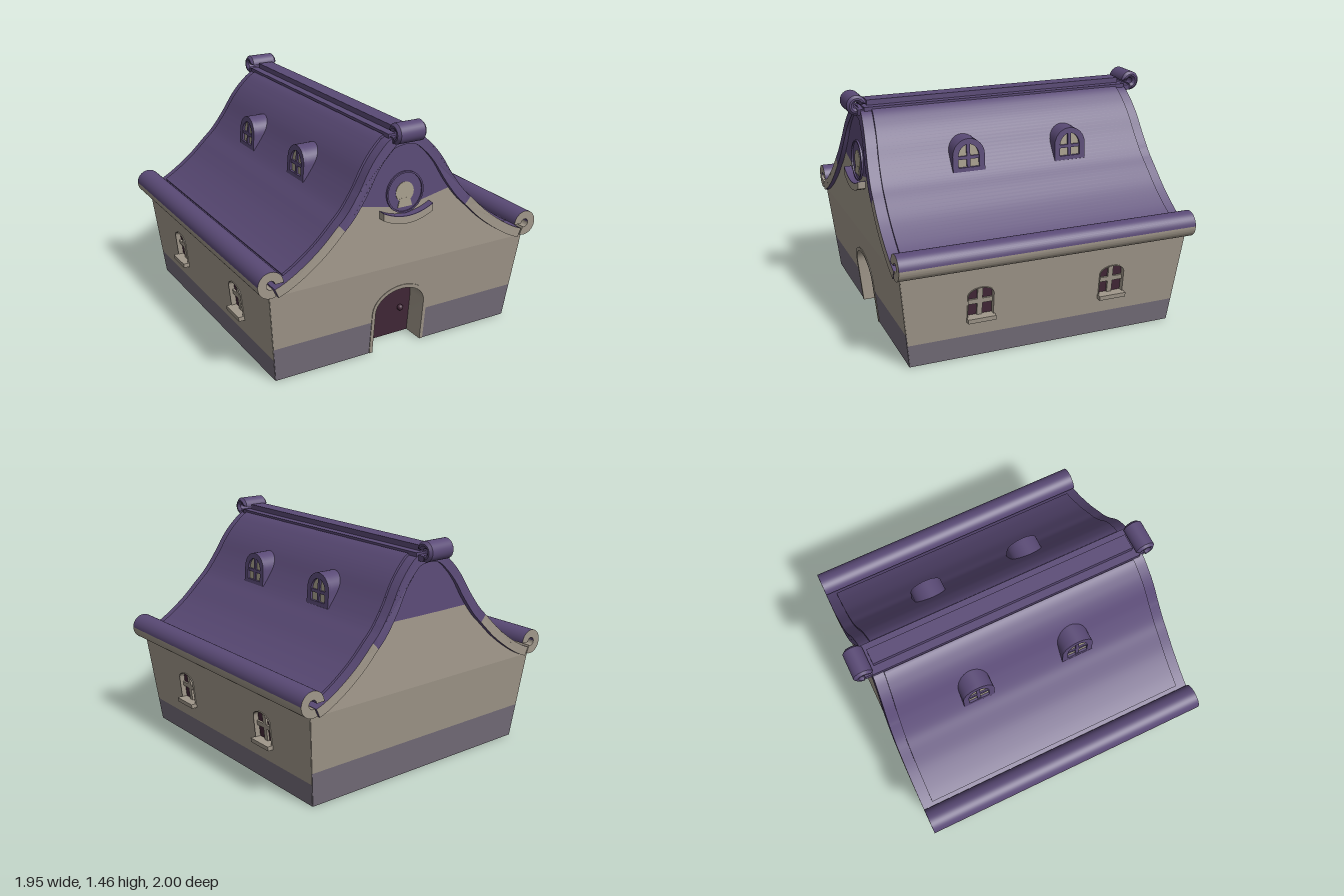
import * as THREE from 'three';
import { toCreasedNormals } from 'three/addons/utils/BufferGeometryUtils.js';

const mat = (name, color) => {
  const m = new THREE.MeshStandardMaterial({ color });
  m.name = name;
  return m;
};
const V = (x, y) => new THREE.Vector2(x, y);

export function createModel() {
  const plaster = mat('plaster', 0xa0978a);
  const purple = mat('roofPurple', 0x5a4a76);
  const stone = mat('plinthStone', 0x746d79);
  const maroon = mat('doorMaroon', 0x432838);
  const pale = mat('paleGlass', 0xa69e8c);

  const model = new THREE.Group();
  const house = new THREE.Group();
  house.name = 'house';
  house.position.z = 0.015;
  model.add(house);

  // Half width, half depth and roof half length at height y
  const halfX = y => 0.835 + 0.06 * Math.min(y / 0.58, 1);
  const halfZ = y => (y < 0.58 ? 0.864 + 0.062 * y / 0.58 : 0.926 - 0.04 * (y - 0.58));
  const roofEnd = y => 0.95 - 0.09 * Math.max(0, y - 0.65) ** 2;

  const add = (parent, name, geo, material) => {
    const m = new THREE.Mesh(geo, material);
    m.name = name;
    parent.add(m);
    return m;
  };
  const box = (parent, name, w, h, d, x, y, z, material) =>
    add(parent, name, new THREE.BoxGeometry(w, h, d).translate(x, y, z), material);

  // Extrusion whose vertices have z replaced by a rule
  const extrude = (pts, depth, rule, holes = [], bevel = 0) => {
    const s = new THREE.Shape(pts);
    s.holes = holes.map(h => new THREE.Path(h));
    const g = new THREE.ExtrudeGeometry(s, { depth, bevelEnabled: bevel > 0,
      bevelThickness: bevel, bevelSize: bevel, bevelOffset: -bevel, bevelSegments: 1 });
    const p = g.attributes.position;
    for (let i = 0; i < p.count; i++) p.setZ(i, rule(p.getZ(i), p.getY(i)));
    return toCreasedNormals(g, 0.5);
  };
  // Wall plate leaning with the wall; front is its offset from the wall face
  const plate = (pts, depth, front, lean, holes) =>
    extrude(pts, depth, (z, y) => z - depth + front + lean(y), holes);
  // Extrusion through the whole house, with length depending on height
  const through = (pts, len) => extrude(pts, 1, (z, y) => (z * 2 - 1) * len(y));

  // Arched outline, counter-clockwise from the lower right
  const arch = (hw, y0, spring, top, u = 0) => {
    const pts = [V(u + hw, y0)];
    for (let i = 0; i <= 16; i++) {
      const a = Math.PI * i / 16;
      pts.push(V(u + hw * Math.cos(a), spring + (top - spring) * Math.sin(a)));
    }
    pts.push(V(u - hw, y0));
    return pts;
  };
  const band = (w, y0, y1) => [V(-w(y0), y0), V(w(y0), y0), V(w(y1), y1), V(-w(y1), y1)];
  const rect = (x0, x1, y0, y1) => [V(x0, y0), V(x1, y0), V(x1, y1), V(x0, y1)];

  // Sweeping roof profile from ridge to eaves
  const curve = new THREE.SplineCurve([
    V(0, 1.385), V(0.1, 1.365), V(0.18, 1.3), V(0.25, 1.215), V(0.32, 1.1), V(0.4, 0.99),
    V(0.475, 0.915), V(0.58, 0.815), V(0.7, 0.725), V(0.8, 0.665), V(0.87, 0.635)]);
  const profile = (off, keep) => {
    const out = [];
    for (let i = 0; i <= 60; i++) {
      const p = curve.getPoint(i / 60), t = curve.getTangent(i / 60);
      if (keep(p)) out.push(V(i === 0 ? 0 : p.x - t.y * off, p.y + t.x * off));
    }
    return out;
  };
  const strip = (outer, inner, keep) => [...profile(outer, keep), ...profile(inner, keep).reverse()];
  const mirror = (pts, s) => pts.map(p => V(p.x * s, p.y));

  // Curled strip, running counter-clockwise between two angles in degrees
  const curl = (cx, cy, R, thick, a0, a1) => {
    const outer = [], inner = [];
    for (let i = 0; i <= 24; i++) {
      const a = (a0 + (a1 - a0) * i / 24) * Math.PI / 180;
      outer.push(V(cx + R * Math.cos(a), cy + R * Math.sin(a)));
      inner.push(V(cx + (R - thick) * Math.cos(a), cy + (R - thick) * Math.sin(a)));
    }
    return [...outer, ...inner.reverse()];
  };

  // Front and back walls with gables
  const frontT = 0.16, thinT = 0.03, skin = 0.012;
  const endW = y => halfX(y) - 0.002;
  for (const front of [true, false]) {
    const end = new THREE.Group();
    end.name = front ? 'frontEnd' : 'backEnd';
    if (!front) end.rotation.y = Math.PI;
    house.add(end);
    const dip = front ? 0.96 : 1.01;
    const low = profile(-0.04, p => p.y < 1.03);
    const high = profile(-0.04, p => p.y >= 1.03);
    const rim = [V(0.36, 1.012), V(0.1, dip)];
    const lowHalf = [V(0.893, 0.58), ...low.reverse(), ...rim];
    add(end, 'gable', plate([...lowHalf, ...mirror(lowHalf, -1).reverse()], 0.09, 0, halfZ), plaster);
    const highHalf = [rim[1], rim[0], ...high.reverse()];
    add(end, 'gableTop', plate([...highHalf, ...mirror(highHalf.slice(0, -1), -1).reverse()], 0.09, 0, halfZ), purple);

    if (!front) {
      add(end, 'plinth', plate(band(endW, 0, 0.22), thinT, 0, halfZ), stone);
      add(end, 'wall', plate(band(endW, 0.22, 0.58), thinT, 0, halfZ), plaster);
      continue;
    }
    // Thick front wall around the doorway; its plinth is hollow underneath
    for (const s of [-1, 1]) {
      const half = [V(0.185, 0), V(endW(0), 0), V(endW(0.22), 0.22), V(0.185, 0.22)];
      add(end, 'plinth', plate(mirror(half, s), skin, 0, halfZ), stone);
      add(end, 'plinthLining', plate(mirror(half, s), skin, skin - frontT, halfZ), stone);
    }
    const notch = arch(0.185, 0.22, 0.28, 0.425).reverse();
    add(end, 'wall', plate([V(-endW(0.22), 0.22), ...notch, V(endW(0.22), 0.22),
      V(endW(0.58), 0.58), V(-endW(0.58), 0.58)], frontT, 0, halfZ), plaster);
    add(end, 'doorFrame', plate([...arch(0.196, 0, 0.28, 0.437),
      ...arch(0.174, 0, 0.28, 0.412).reverse()], frontT + 0.004, 0.004, halfZ), plaster);
    add(end, 'door', plate(arch(0.18, 0, 0.28, 0.418), 0.025, -0.14, halfZ), maroon);
    for (const z of [-0.13, -0.175])
      add(end, 'doorKnob', new THREE.SphereGeometry(0.02, 16, 12).translate(0.1, 0.187, halfZ(0.187) + z), maroon);

    // Round gable ornament with a curved, purple-topped ledge
    const circle = (r, y) => new THREE.EllipseCurve(0, y, r, r).getPoints(32).slice(0, -1);
    add(end, 'roundelRing', plate(circle(0.127, 1.035), 0.02, 0.012, halfZ, [circle(0.117, 1.035)]), purple);
    add(end, 'roundelField', plate(circle(0.118, 1.035), 0.004, 0.003, halfZ), purple);
    add(end, 'roundelDisc', plate(circle(0.062, 1.035), 0.006, 0.006, halfZ), pale);
    add(end, 'roundelFoot', plate([V(-0.05, 0.945), V(0.05, 0.945), V(0.035, 1), V(-0.035, 1)], 0.006, 0.007, halfZ), pale);
    const arc = lift => Array.from({ length: 17 }, (_, i) =>
      V(-0.172 + 0.344 * i / 16, 0.857 + lift + 0.045 * (i / 8 - 1) ** 2));
    add(end, 'ledge', plate([...arc(0), ...arc(0.043).reverse()], 0.065, 0.047, halfZ), plaster);
    add(end, 'ledgeTop', plate([...arc(0.043), ...arc(0.047).reverse()], 0.065, 0.047, halfZ), purple);
  }

  // Side walls with two windows each
  const sideW = y => halfZ(y) - 0.004;
  for (const s of [-1, 1]) {
    const side = new THREE.Group();
    side.name = s > 0 ? 'leftSide' : 'rightSide';
    side.rotation.y = s * Math.PI / 2;
    house.add(side);
    const opening = u => arch(0.085, 0.265, 0.41, 0.46, u);
    add(side, 'plinth', plate(band(sideW, 0, 0.145), thinT, 0, halfX), stone);
    add(side, 'wall', plate(band(sideW, 0.145, 0.58), thinT, 0, halfX, [opening(-0.43), opening(0.43)]), plaster);
    for (const u of [-0.43, 0.43]) {
      add(side, 'windowPane', plate(opening(u), 0.008, -0.028, halfX), maroon);
      add(side, 'windowFrame', plate(opening(u), 0.05, 0.006, halfX,
        [arch(0.08, 0.27, 0.408, 0.455, u)]), plaster);
      add(side, 'windowMullion', plate(rect(u - 0.016, u + 0.016, 0.265, 0.457), 0.03, -0.015, halfX), plaster);
      add(side, 'windowTransom', plate(rect(u - 0.082, u + 0.082, 0.346, 0.376), 0.03, -0.015, halfX), plaster);
      add(side, 'windowSill', plate(rect(u - 0.088, u + 0.088, 0.242, 0.27), 0.105, 0.038, halfX), plaster);
    }
  }
  box(house, 'ceiling', 1.76, 0.02, 1.82, 0, 0.582, 0, plaster);

  // Roof slopes, raised roof panels and rolled eaves
  for (const s of [-1, 1]) {
    add(house, 'roofUpper', through(mirror(strip(0, -0.06, p => p.y > 0.92), s), roofEnd), purple);
    add(house, 'roofLower', through(mirror(strip(0, -0.06, p => p.y < 0.935), s), roofEnd), [plaster, purple]);
    add(house, 'roofPanel', through(mirror(strip(0.014, -0.02, p => p.x > 0.09 && p.x < 0.8), s),
      y => roofEnd(y) - 0.068), purple);
    add(house, 'eavesUnderside', through(mirror(curl(0.895, 0.667, 0.08, 0.053, -115, 2), s), () => 0.95), plaster);
    add(house, 'eavesRoll', through(mirror(curl(0.895, 0.667, 0.08, 0.053, 2, 178), s), () => 0.95), [plaster, purple]);
  }

  // Ridge with curled ends
  box(model, 'ridgeBase', 0.2, 0.03, 1.78, 0, 1.375, 0.005, purple);
  box(model, 'ridgeBeam', 0.1, 0.05, 1.726, 0, 1.398, 0.003, purple);
  for (const s of [-1, 1]) {
    const scroll = new THREE.Group();
    scroll.name = 'ridgeScroll';
    if (s < 0) scroll.rotation.y = Math.PI;
    model.add(scroll);
    const g = extrude(curl(0.938, 1.403, 0.062, 0.043, -100, 175), 0.164, z => z - 0.082, [], 0.016);
    add(scroll, 'scrollCurl', g.rotateY(-Math.PI / 2), purple);
    box(scroll, 'scrollNeck', 0.18, 0.034, 0.08, 0, 1.359, 0.892, purple);
  }

  // Arched dormers on both slopes
  for (const s of [-1, 1]) for (const z of [-0.345, 0.335]) {
    const dormer = new THREE.Group();
    dormer.name = 'dormer';
    dormer.rotation.y = s * Math.PI / 2;
    dormer.position.z = z;
    model.add(dormer);
    const face = y => 0.407 - 0.08 * (y - 1.01);
    const shell = arch(0.104, 1.01, 1.11, 1.213);
    add(dormer, 'dormerBody', plate(shell, 0.17, -0.02, face), purple);
    add(dormer, 'dormerFrame', plate(shell, 0.02, 0, face, [arch(0.068, 1.035, 1.1, 1.178)]), purple);
    add(dormer, 'dormerPane', plate(arch(0.07, 1.033, 1.1, 1.18), 0.006, -0.015, face), pale);
    add(dormer, 'dormerMullion', plate(rect(-0.011, 0.011, 1.03, 1.185), 0.015, -0.005, face), purple);
    add(dormer, 'dormerTransom', plate(rect(-0.07, 0.07, 1.085, 1.105), 0.015, -0.005, face), purple);
  }
  return model;
}
